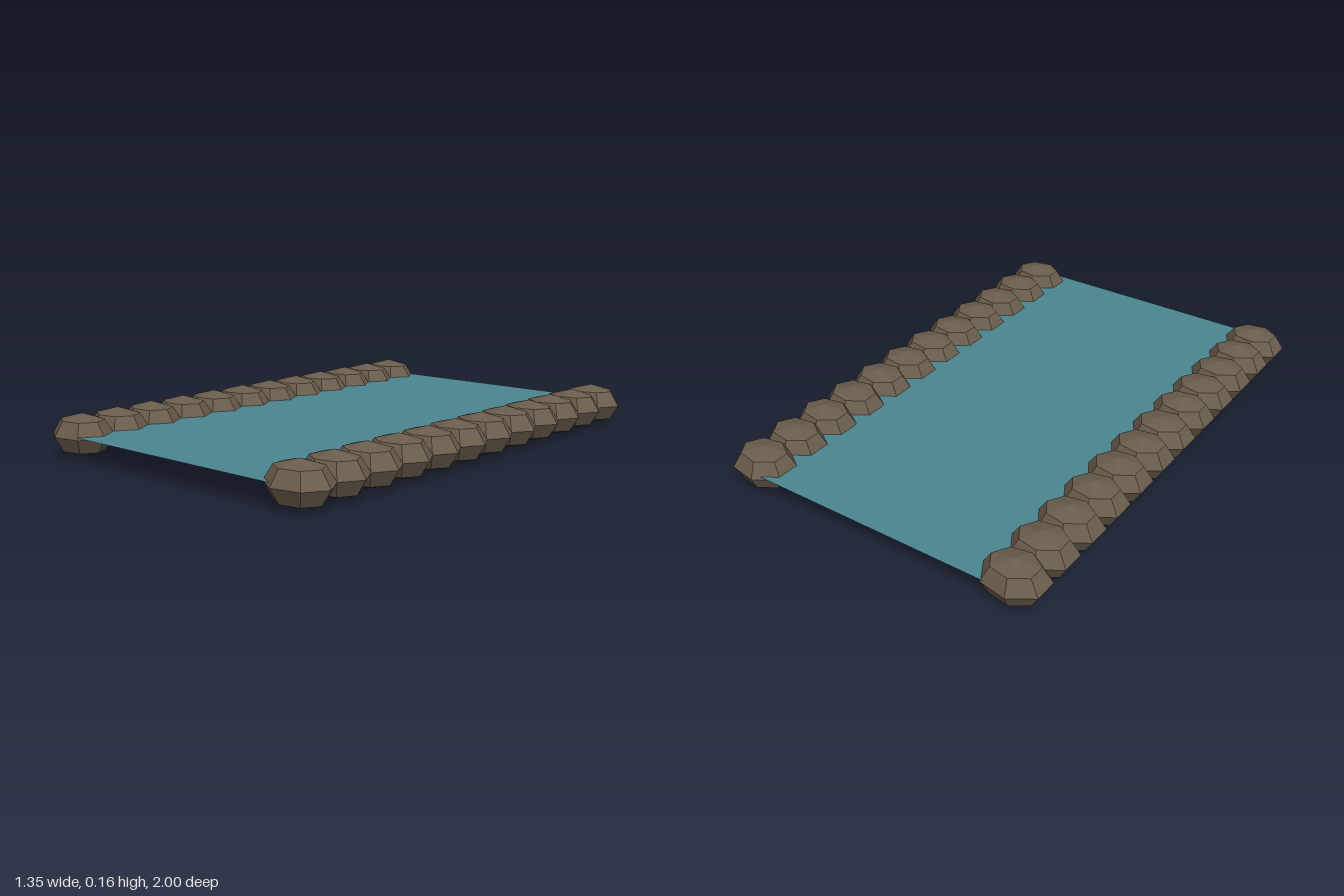
import * as THREE from 'three';

export function createModel() {
  const model = new THREE.Group();
  model.name = 'riverSection';

  const waterMaterial = new THREE.MeshStandardMaterial({ color: 0x4a8590, side: THREE.DoubleSide });
  const rockMaterial = new THREE.MeshStandardMaterial({ color: 0x6b5d4d, flatShading: true });

  // Flat water sheet, its long edges tucked into the rocks
  const water = new THREE.Mesh(new THREE.PlaneGeometry(1.1, 1.955), waterMaterial);
  water.name = 'waterSurface';
  water.rotation.x = -Math.PI / 2;
  water.position.set(-0.008, 0.09, 0);
  model.add(water);

  // Seven-sided faceted boulder with a corner towards +x
  const rockGeometry = new THREE.SphereGeometry(1, 7, 4, Math.PI);
  const count = 12;
  const spacing = 0.163;

  // A row of boulders along each bank
  for (const [side, x] of [['left', 0.545], ['right', -0.56]]) {
    const bank = new THREE.Group();
    bank.name = side + 'Bank';
    for (let i = 0; i < count; i++) {
      const rock = new THREE.Mesh(rockGeometry, rockMaterial);
      rock.name = side + 'BankRock' + (i + 1);
      rock.scale.set(0.131, 0.081, 0.1055);
      rock.position.set(x, 0.081, (i - (count - 1) / 2) * spacing);
      bank.add(rock);
    }
    model.add(bank);
  }
  return model;
}
